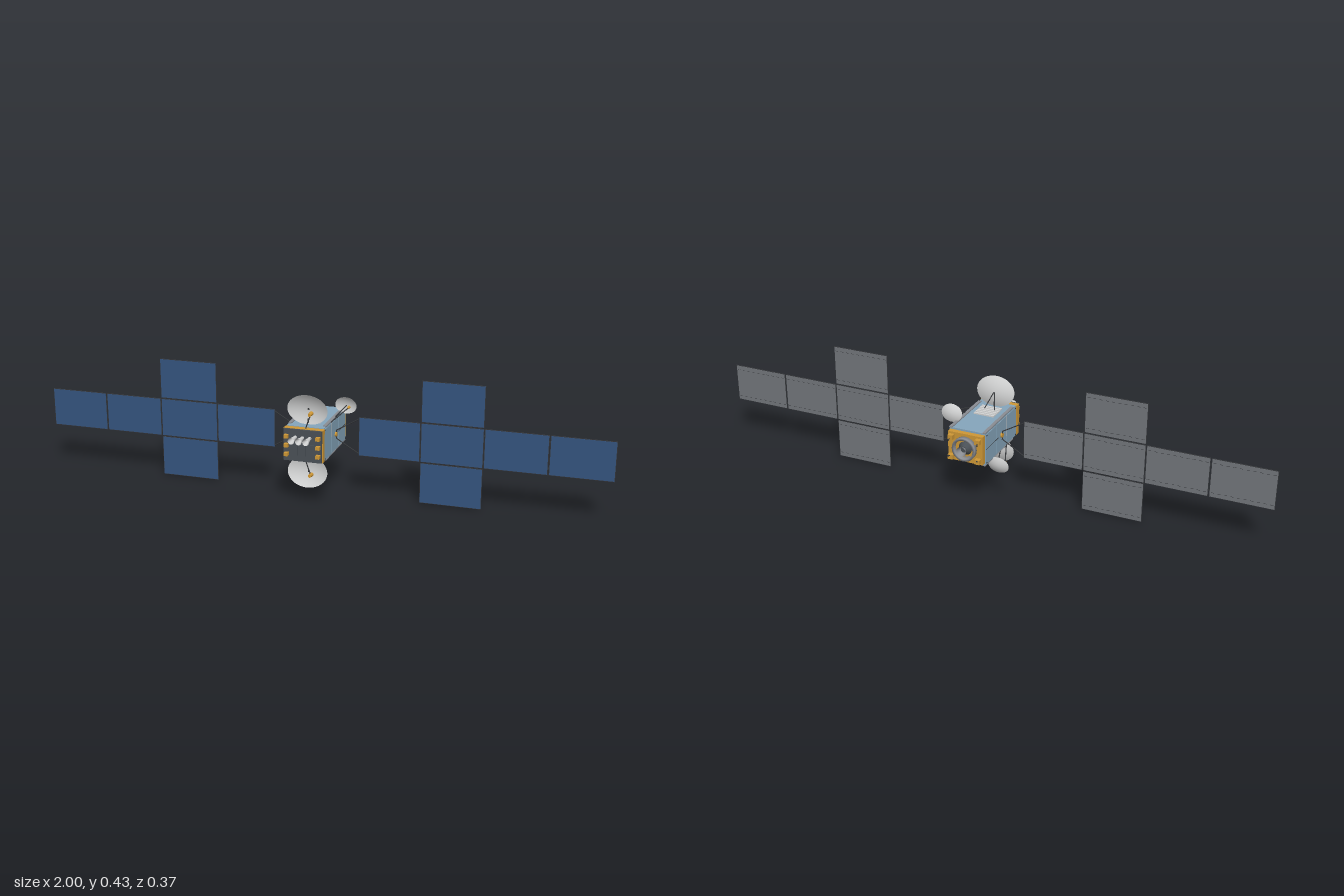
import * as THREE from 'three';

const mat = (name, color, side = THREE.FrontSide) => {
  const m = new THREE.MeshStandardMaterial({ color, side });
  m.name = name;
  return m;
};

export function createModel() {
  const blue = mat('solar cell blue', 0x35547f);
  const grey = mat('panel back grey', 0x72767b);
  const gold = mat('gold foil', 0xcf9836);
  const skin = mat('body light blue', 0x86a6bc);
  const white = mat('antenna white', 0xd2d3d3, THREE.DoubleSide);
  const slate = mat('front slate', 0x4a5056);
  const dark = mat('strut dark', 0x37393c);
  const metal = mat('engine metal', 0x8a8d93, THREE.DoubleSide);

  const root = new THREE.Group();
  root.name = 'satellite';
  const CY = 0.2135; // height of the body axis
  const PZ = -0.013; // plane of the solar wings

  const add = (name, geo, m, x = 0, y = 0, z = 0, parent = root) => {
    const mesh = new THREE.Mesh(geo, m);
    mesh.name = name;
    mesh.position.set(x, y, z);
    parent.add(mesh);
    return mesh;
  };
  // box given by its limits on each axis
  const box = (name, m, x0, x1, y0, y1, z0, z1, parent = root) =>
    add(name, new THREE.BoxGeometry(Math.abs(x1 - x0), Math.abs(y1 - y0), Math.abs(z1 - z0)), m,
      (x0 + x1) / 2, (y0 + y1) / 2, (z0 + z1) / 2, parent);
  // tapered rod between two points
  const rod = (name, m, a, b, r0, r1 = r0, parent = root, sides = 8) => {
    const A = new THREE.Vector3(...a), B = new THREE.Vector3(...b);
    const d = B.clone().sub(A);
    const mesh = add(name, new THREE.CylinderGeometry(r1, r0, d.length(), sides), m, 0, 0, 0, parent);
    mesh.position.copy(A).add(B).multiplyScalar(0.5);
    mesh.quaternion.setFromUnitVectors(new THREE.Vector3(0, 1, 0), d.normalize());
    return mesh;
  };

  // ---- body
  box('foilCore', gold, -0.063, 0.063, CY - 0.051, CY + 0.051, -0.153, 0.112);
  box('frontFrame', gold, -0.068, 0.068, CY - 0.056, CY + 0.056, 0.112, 0.133);
  box('frontPlate', slate, -0.066, 0.066, CY - 0.055, CY + 0.055, 0.133, 0.14);
  for (const s of [1, -1]) {
    // side skins in three bays
    for (const [a, b] of [[0.111, 0.031], [0.026, -0.051], [-0.056, -0.135]])
      box('sideSkin', skin, s * 0.062, s * 0.067, CY - 0.053, CY + 0.053, b, a);
    box('sideSeam', white, s * 0.062, s * 0.066, CY - 0.053, CY + 0.053, 0.026, 0.031);
    box('sideLine', dark, s * 0.067, s * 0.0675, CY - 0.001, CY + 0.001, -0.135, -0.036);
    for (const z of [0.105, -0.13])
      for (const e of [1, -1]) box('sideBolt', dark, s * 0.067, s * 0.0685, CY + e * 0.05 - 0.002, CY + e * 0.05 + 0.002, z - 0.002, z + 0.002);
    // upper and lower decks
    box('deckSkin', skin, -0.065, 0.065, CY + s * 0.05, CY + s * 0.0575, -0.135, 0.111);
    for (const e of [1, -1])
      box('deckRail', metal, e * 0.055, e * 0.066, CY + s * 0.0575, CY + s * 0.061, -0.138, 0.09);
    for (let i = 0; i < 6; i++) {
      const z = -0.006 + i * 0.0125;
      box('louver', white, -0.037, 0.037, CY + s * 0.0575, CY + s * 0.0625, z - 0.004, z + 0.004);
    }
  }

  // ---- front face equipment
  for (let i = -1; i <= 1; i++) {
    add('hornFloor', new THREE.CircleGeometry(0.006, 16), dark, i * 0.025, CY + 0.028, 0.146);
    const p = [[0.006, 0], [0.006, 0.012], [0.0112, 0.045]].map(v => new THREE.Vector2(...v));
    add('feedHorn', new THREE.LatheGeometry(p, 18), white, i * 0.025, CY + 0.028, 0.14).rotation.x = Math.PI / 2;
    for (const s of [1, -1])
      box('frontUnit', gold, s * 0.048, s * 0.062, CY + i * 0.031 - 0.006, CY + i * 0.031 + 0.006, 0.14, 0.154);
  }
  for (const x of [-0.03, 0, 0.03]) box('frontBox', slate, x - 0.012, x + 0.012, CY - 0.035, CY + 0.005, 0.14, 0.144);

  // ---- rear face: ring, engine and thrusters
  const ring = [[0.03, 0], [0.042, 0], [0.042, 0.017], [0.034, 0.017], [0.034, 0.003]].map(v => new THREE.Vector2(...v));
  add('adapterRing', new THREE.LatheGeometry(ring, 24), metal, 0, CY, -0.153).rotation.x = -Math.PI / 2;
  rod('engineBase', slate, [0, CY, -0.153], [0, CY, -0.168], 0.024, 0.012, root, 20);
  const bell = [[0.008, 0], [0.012, 0.008], [0.0175, 0.02]].map(v => new THREE.Vector2(...v));
  add('engineBell', new THREE.LatheGeometry(bell, 20), metal, 0, CY, -0.165).rotation.x = -Math.PI / 2;
  for (const sx of [1, -1]) for (const sy of [1, -1]) {
    box('rearUnit', gold, sx * 0.04, sx * 0.058, CY + sy * 0.028, CY + sy * 0.044, -0.153, -0.169);
    rod('thruster', dark, [sx * 0.05, CY + sy * 0.032, -0.167], [sx * 0.053, CY + sy * 0.028, -0.176], 0.0015, 0.003);
  }

  // ---- antennas
  const dish = (name, rx, ry, depth, x, y, z, tiltX, tiltY) => {
    const pts = [];
    for (let i = 0; i <= 8; i++) pts.push(new THREE.Vector2(i / 8, (i / 8) ** 2 - 1));
    const g = new THREE.LatheGeometry(pts, 40);
    g.rotateX(Math.PI / 2);
    g.scale(rx, ry, depth);
    g.computeVertexNormals();
    add(name, g, white, x, y, z).rotation.set(tiltX, tiltY, 0);
  };
  for (const s of [1, -1]) {
    const Y = d => CY + s * d;
    // large dish with feed mast
    dish('mainDish', 0.07, 0.054, 0.014, 0, Y(0.109), 0.088, s * 0.14, 0);
    for (const e of [1, -1]) rod('dishStrut', dark, [e * 0.02, Y(0.058), 0.034], [0, Y(0.112), 0.077], 0.0018);
    rod('dishFoot', dark, [0, Y(0.055), 0.075], [0, Y(0.075), 0.078], 0.003);
    rod('feedMast', dark, [0.005, Y(0.055), 0.123], [0.022, Y(0.104), 0.123], 0.002);
    rod('mastFeed', gold, [0.022, Y(0.106), 0.134], [0.022, Y(0.107), 0.113], 0.0055, 0.0075, root, 12);
    // small side dish with boom feed
    const z = s > 0 ? -0.083 : -0.071;
    dish('sideDish', 0.038, 0.031, 0.009, s * 0.083, Y(0.083), z, s * 0.16, 0);
    rod('sideDishArm', dark, [s * 0.062, Y(0.056), -0.005], [s * 0.083, Y(0.08), z - 0.008], 0.002);
    rod('sideFeedBoom', dark, [s * 0.066, Y(0.057), 0.033], [s * 0.097, Y(0.081), z + 0.024], 0.002);
    rod('sideFeed', gold, [s * 0.097, Y(0.081), z + 0.027], [s * 0.099, Y(0.083), z + 0.014], 0.003, 0.005, root, 12);
  }

  // ---- solar wings
  const panel = (parent, x0, x1, y0, y1) => {
    const p = new THREE.Group();
    p.name = 'solarPanel';
    parent.add(p);
    const e = 0.0015;
    box('panelFrame', dark, x0, x1, y0, y1, PZ - 0.0013, PZ + 0.0013, p);
    box('cellSheet', blue, x0 + e, x1 - e, y0 + e, y1 - e, PZ + 0.0013, PZ + 0.002, p);
    box('backSheet', grey, x0 + e, x1 - e, y0 + e, y1 - e, PZ - 0.0013, PZ - 0.002, p);
    // dashed wiring along the back
    for (let i = 0; i < 10; i++) {
      const x = x0 + (i + 0.5) * (x1 - x0) / 10;
      for (const y of [y0 + 0.016, y1 - 0.016])
        box('backDash', dark, x - 0.005, x + 0.005, y - 0.0007, y + 0.0007, PZ - 0.002, PZ - 0.0024, p);
    }
  };
  for (const s of [1, -1]) {
    const wing = new THREE.Group();
    wing.name = s > 0 ? 'leftWing' : 'rightWing';
    root.add(wing);
    const cols = [[0.15, 0.361], [0.364, 0.574], [0.577, 0.786], [0.79, 1]];
    for (const [a, b] of cols) panel(wing, Math.min(s * a, s * b), Math.max(s * a, s * b), CY - 0.068, CY + 0.068);
    const [a, b] = cols[1];
    const lo = Math.min(s * a, s * b), hi = Math.max(s * a, s * b);
    panel(wing, lo, hi, CY + 0.0715, 2 * CY);
    panel(wing, lo, hi, 0, CY - 0.0715);
    // hinges between panels
    for (const x of [0.3625, 0.5755, 0.788]) for (const e of [1, -1])
      box('hinge', dark, s * x - 0.004, s * x + 0.004, CY + e * 0.045 - 0.003, CY + e * 0.045 + 0.003, PZ - 0.001, PZ + 0.001, wing);
    for (const x of [0.41, 0.53]) for (const e of [1, -1])
      box('hinge', dark, s * x - 0.003, s * x + 0.003, CY + e * 0.066, CY + e * 0.074, PZ - 0.001, PZ + 0.001, wing);
    // yoke and rotary joint
    rod('rotaryJoint', gold, [s * 0.066, CY, PZ], [s * 0.073, CY, PZ], 0.008, 0.008, wing, 16);
    for (const e of [1, -1])
      rod('yokeStrut', dark, [s * 0.07, CY + e * 0.014, PZ], [s * 0.151, CY + e * 0.062, PZ], 0.0018, 0.0018, wing);
    rod('yokeBar', dark, [s * 0.071, CY - 0.015, PZ], [s * 0.071, CY + 0.015, PZ], 0.002, 0.002, wing);
  }
  return root;
}
